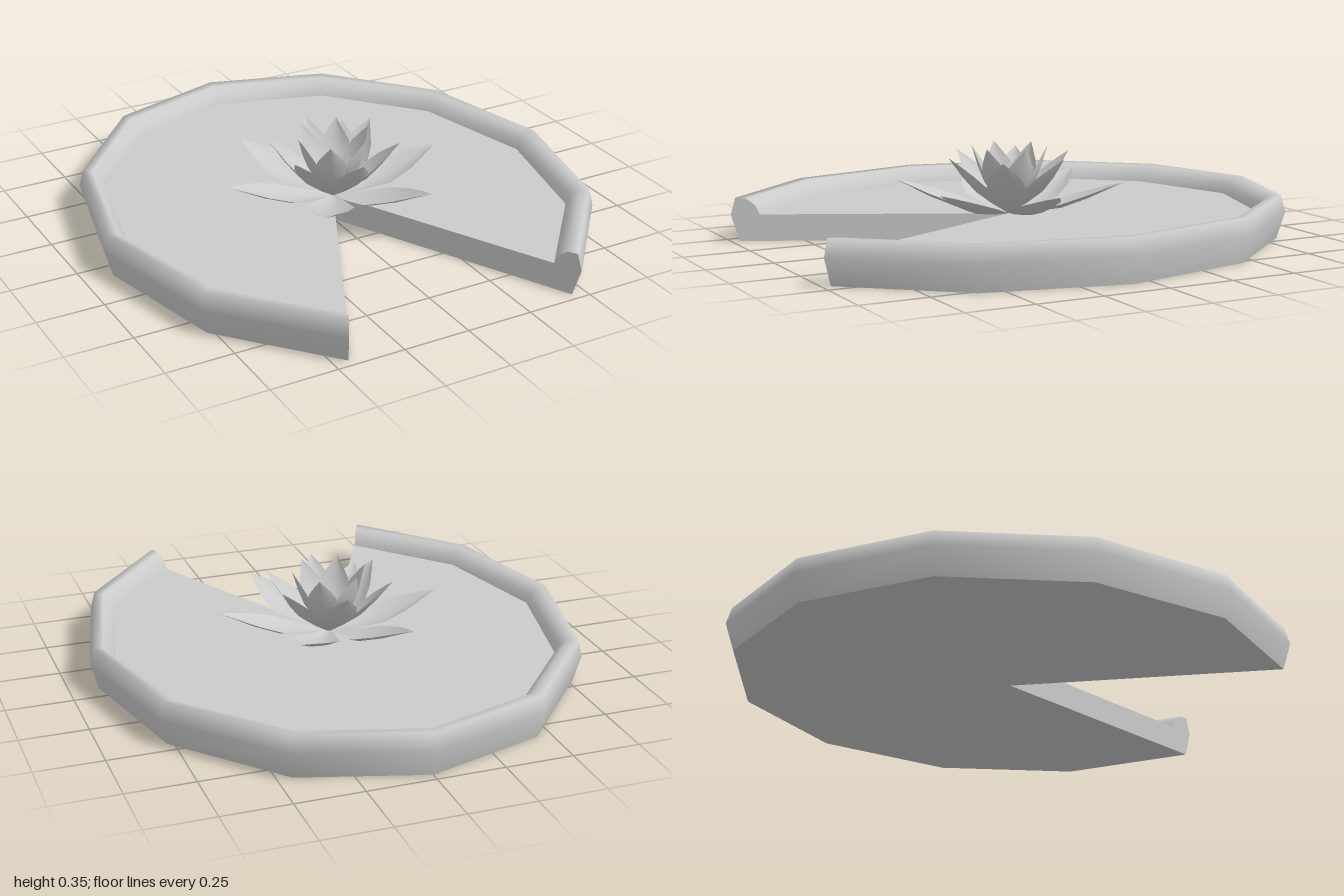
import * as THREE from 'three';

const CENTRE_Z = 0.07, RX = 0.92, RZ = 1.07, FLOOR_Y = 0.1;
const material = new THREE.MeshStandardMaterial({ color: 0xcccccc });
const thin = new THREE.MeshStandardMaterial({ color: 0xcccccc, side: THREE.DoubleSide });

// Smooth surface through a list of equal-length rows of points
function loft(rows) {
  const n = rows[0].length, index = [];
  for (let i = 0; i < rows.length - 1; i++) {
    for (let j = 0; j < n - 1; j++) {
      const a = i * n + j, b = a + n;
      index.push(a, a + 1, b, b, a + 1, b + 1);
    }
  }
  const geometry = new THREE.BufferGeometry();
  geometry.setAttribute('position', new THREE.Float32BufferAttribute(rows.flat(2), 3));
  geometry.setIndex(index);
  geometry.computeVertexNormals();
  return geometry;
}

function addMesh(parent, name, geometry, mat = material) {
  const mesh = new THREE.Mesh(geometry, mat);
  mesh.name = name;
  parent.add(mesh);
  return mesh;
}

// Point on the pad: angle from the back, fraction of the radius, height
const padPoint = (angle, s, y) => [RX * s * Math.sin(angle), y, CENTRE_Z - RZ * s * Math.cos(angle)];

function createPad() {
  const pad = new THREE.Group();
  pad.name = 'lilyPad';
  // Ten straight sides of a twelve-sided oval, leaving a notch at the front
  const angles = Array.from({ length: 11 }, (_, i) => (i - 5) * Math.PI / 6);
  const sweep = (profile) => loft(angles.map((a) => profile.map(([s, y]) => padPoint(a, s, y))));
  const rim = [[0.97, 0], [1, 0.1], [0.983, 0.163], [0.945, 0.16], [0.912, 0.135], [0.897, FLOOR_Y]];

  addMesh(pad, 'padRim', sweep(rim));
  addMesh(pad, 'padFloor', sweep([rim[rim.length - 1], [0, FLOOR_Y]]));
  addMesh(pad, 'padUnderside', sweep([[0, 0], rim[0]]));

  // Cut faces on both sides of the notch
  const section = new THREE.Shape([[0, 0], ...rim, [0, FLOOR_Y]].map(([s, y]) => new THREE.Vector2(s, y)));
  for (const angle of [angles[0], angles[10]]) {
    const geometry = new THREE.ShapeGeometry(section);
    const p = geometry.attributes.position;
    for (let i = 0; i < p.count; i++) p.setXYZ(i, ...padPoint(angle, p.getX(i), p.getY(i)));
    geometry.computeVertexNormals();
    addMesh(pad, 'notchWall', geometry, thin);
  }
  return pad;
}

// Cupped pointed petal along +x: a midrib curve with the edges lifted
function petalGeometry(midrib, width, cup) {
  const curve = new THREE.CatmullRomCurve3(midrib.map(([x, y]) => new THREE.Vector3(x, y, 0)));
  const outline = [[0, 0.15], [0.25, 0.6], [0.5, 1], [0.72, 0.78], [0.9, 0.3], [1, 0]];
  return loft(outline.map(([t, w]) => {
    const p = curve.getPoint(t), d = curve.getTangent(t);
    return [-1, -0.5, 0, 0.5, 1].map((side) => {
      const lift = cup * w * side * side;
      return [p.x - d.y * lift, p.y + d.x * lift, side * w * width / 2];
    });
  }));
}

function createFlower() {
  const flower = new THREE.Group();
  flower.name = 'flower';
  flower.position.z = CENTRE_Z;
  const layers = [
    { name: 'outerPetal', midrib: [[0.01, 0.102], [0.2, 0.125], [0.425, 0.222]], width: 0.18, cup: 0.025, turn: 3 },
    { name: 'middlePetal', midrib: [[0.01, 0.104], [0.13, 0.185], [0.245, 0.322]], width: 0.15, cup: 0.025, turn: 33 },
    { name: 'innerPetal', midrib: [[0.01, 0.106], [0.095, 0.22], [0.142, 0.355]], width: 0.13, cup: 0.022, turn: 3 },
  ];
  for (const { name, midrib, width, cup, turn } of layers) {
    const geometry = petalGeometry(midrib, width, cup);
    for (let i = 0; i < 6; i++) {
      addMesh(flower, name, geometry, thin).rotation.y = -THREE.MathUtils.degToRad(turn + i * 60);
    }
  }
  return flower;
}

export function createModel() {
  const model = new THREE.Group();
  model.name = 'waterLily';
  model.add(createPad(), createFlower());
  return model;
}
